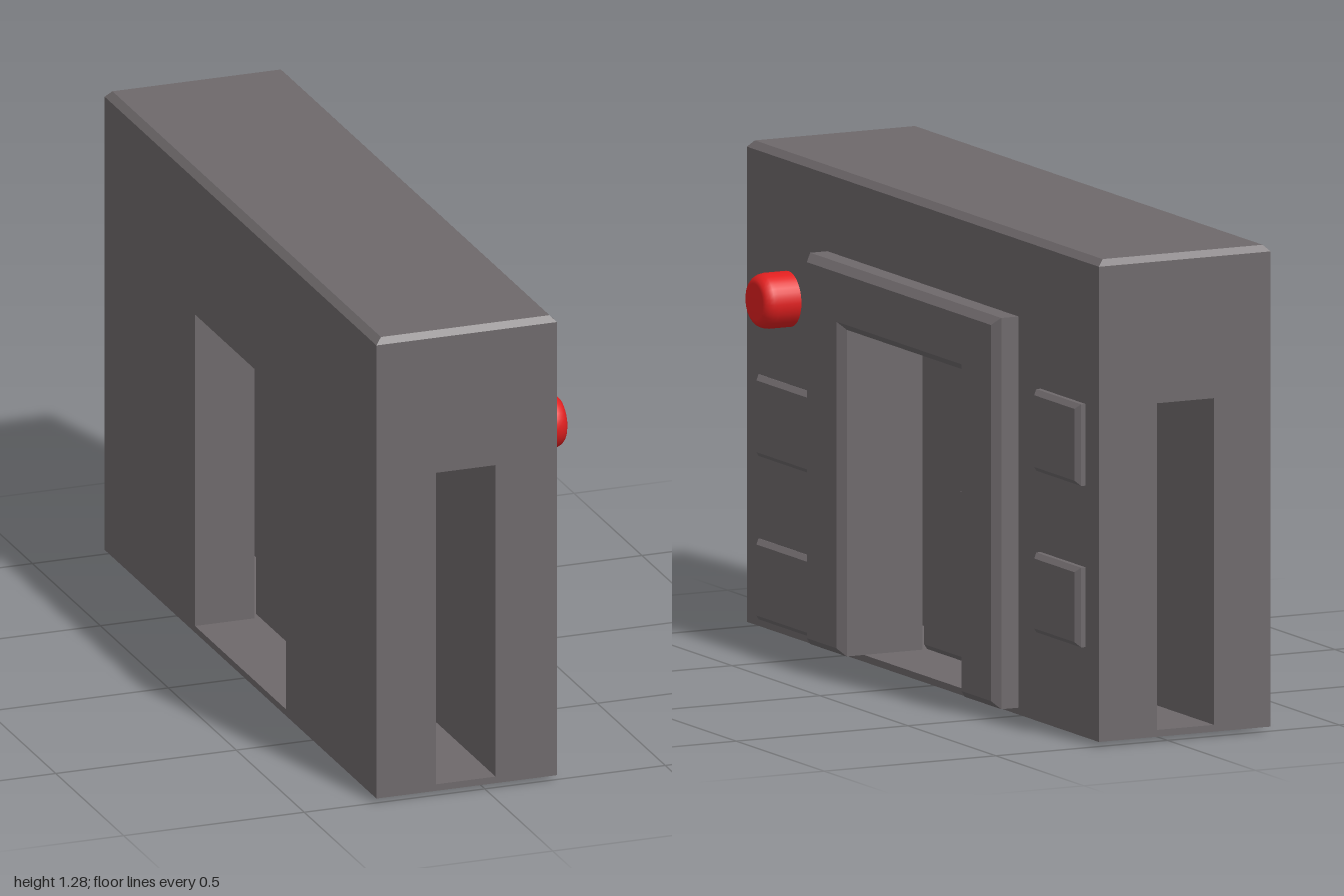
import * as THREE from 'three';

const stone = new THREE.MeshStandardMaterial({ color: 0x6e696b, flatShading: true });
const red = new THREE.MeshStandardMaterial({ color: 0xe01f1f });

function add(parent, name, geometry, material = stone) {
  const mesh = new THREE.Mesh(geometry, material);
  mesh.name = name;
  parent.add(mesh);
  return mesh;
}

// Box given by its minimum and maximum on each axis
function block(parent, name, [x0, x1], [y0, y1], [z0, z1]) {
  const mesh = add(parent, name, new THREE.BoxGeometry(x1 - x0, y1 - y0, z1 - z0));
  mesh.position.set((x0 + x1) / 2, (y0 + y1) / 2, (z0 + z1) / 2);
  return mesh;
}

// Chamfered plate: outline of [z, y] points, extruded along x from x0 to x1
function plate(parent, name, outline, x0, x1, bevel) {
  const shape = new THREE.Shape(outline.map(([z, y]) => new THREE.Vector2(-z, y)));
  const geometry = new THREE.ExtrudeGeometry(shape, {
    depth: x1 - x0 - 2 * bevel, bevelThickness: bevel, bevelSize: bevel,
    bevelOffset: -bevel, bevelSegments: 1,
  });
  geometry.translate(0, 0, bevel);
  geometry.rotateY(Math.PI / 2);
  const mesh = add(parent, name, geometry);
  mesh.position.x = x0;
  return mesh;
}

const rect = (z0, z1, y0, y1) => [[z0, y0], [z1, y0], [z1, y1], [z0, y1]];

export function createModel() {
  const model = new THREE.Group();
  model.name = 'doorway';

  // Wall: sill, four piers around the doorway and door slots, lintel
  const wall = new THREE.Group();
  wall.name = 'wall';
  model.add(wall);
  block(wall, 'sill', [-0.3, 0.2], [0.012, 0.03], [-1, 1]);
  for (const z of [[0.335, 1], [-1, -0.335]]) {
    block(wall, 'backPier', [-0.3, -0.135], [0.03, 0.89], z);
    block(wall, 'frontPier', [0.03, 0.2], [0.03, 0.89], z);
  }
  block(wall, 'lintel', [-0.3, 0.2], [0.89, 1.263], [-1, 1]);

  // Chamfered cap of the wall
  const cap = block(wall, 'cap', [-0.3, 0.2], [1.263, 1.28], [-1, 1]);
  const p = cap.geometry.attributes.position;
  for (let i = 0; i < p.count; i++) {
    if (p.getY(i) > 0) {
      p.setX(i, p.getX(i) - 0.017 * Math.sign(p.getX(i)));
      p.setZ(i, p.getZ(i) - 0.012 * Math.sign(p.getZ(i)));
    }
  }
  cap.geometry.computeVertexNormals();

  // Raised surround of the doorway
  plate(model, 'doorFrame', [
    [0.543, 0.03], [0.335, 0.03], [0.335, 0.89], [-0.335, 0.89],
    [-0.335, 0.03], [-0.543, 0.03], [-0.543, 1.06], [0.543, 1.06],
  ], 0.16, 0.27, 0.02);

  // Sliding door leaves, each with a guide pin under it
  for (const side of [1, -1]) {
    const z0 = Math.min(0, side * 0.34), z1 = Math.max(0, side * 0.34);
    plate(model, 'doorLeaf', rect(z1, z0, 0.03, 0.89), -0.135, 0.03, 0.016);
    block(model, 'guidePin', [-0.065, -0.04], [0, 0.014], [side * 0.055 - 0.01, side * 0.055 + 0.01]);
  }

  // Latch across the meeting edges
  block(model, 'latchStrip', [0.0, 0.032], [0.34, 0.61], [-0.008, 0.008]);
  block(model, 'latchBar', [0.045, 0.065], [0.458, 0.495], [-0.052, 0.052]);
  for (const z of [-0.03, 0.03]) {
    block(model, 'latchMount', [0.025, 0.05], [0.463, 0.49], [z - 0.01, z + 0.01]);
  }

  // Raised wall panels on either side
  for (const [y0, y1] of [[0.03, 0.243], [0.46, 0.675]]) {
    plate(model, 'leftPanel', rect(0.93, 0.58, y0, y1), 0.17, 0.215, 0.013);
  }
  for (const [y0, y1] of [[0.25, 0.46], [0.675, 0.89]]) {
    plate(model, 'rightPanel', rect(-0.67, -0.925, y0, y1), 0.17, 0.226, 0.013);
  }

  // Round red button with a softened rim
  const profile = [[0.073, 0], [0.073, 0.065], [0.071, 0.077], [0.066, 0.088], [0.058, 0.096], [0.048, 0.1], [0, 0.1]]
    .map(([r, h]) => new THREE.Vector2(r, h));
  const button = add(model, 'button', new THREE.LatheGeometry(profile, 32), red);
  button.rotation.z = -Math.PI / 2;
  button.position.set(0.2, 0.9, 0.763);

  return model;
}
